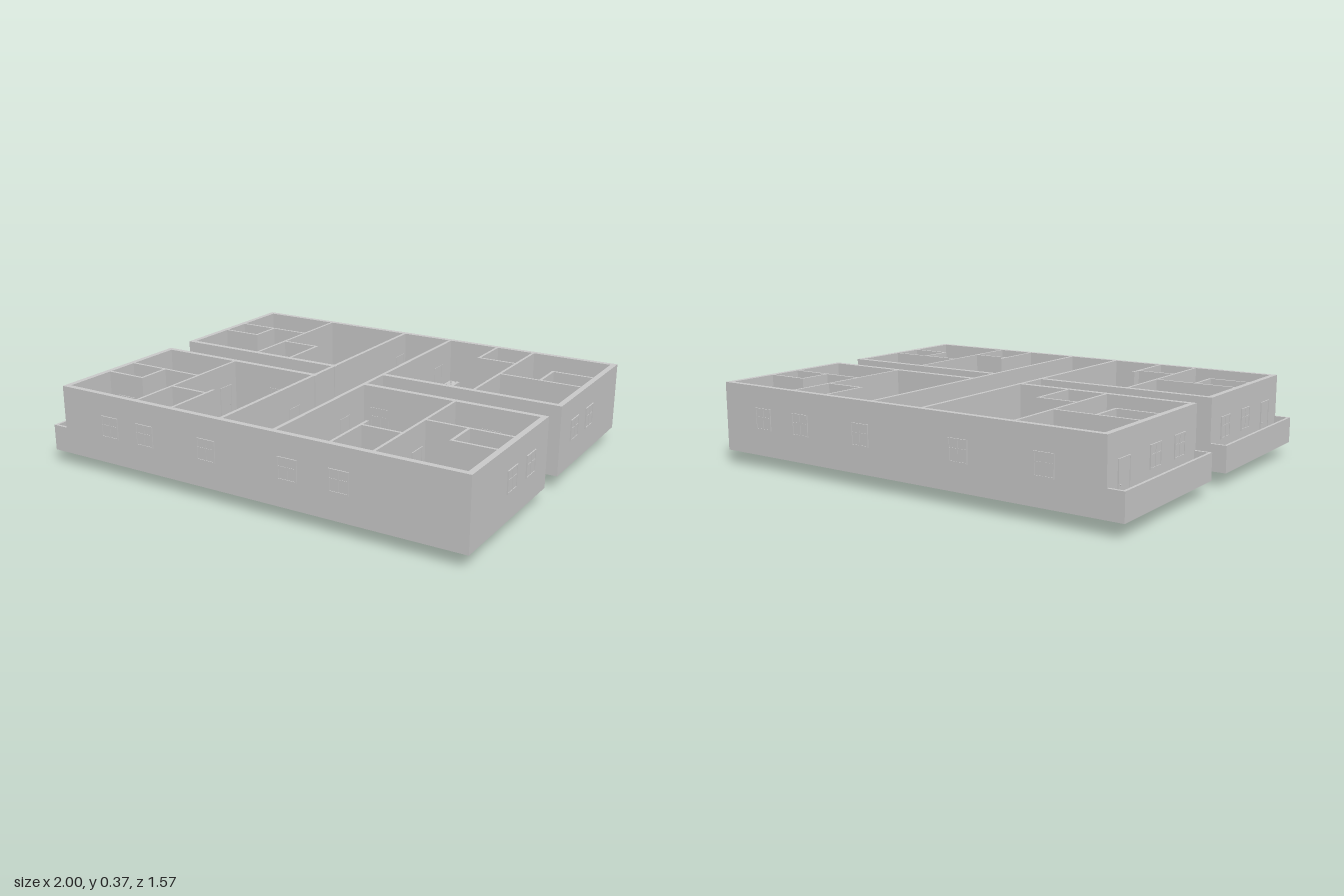
import * as THREE from 'three';

const BASE = 0.06, FLOOR = 0.085, TOP = 0.365, RAIL = 0.175;
const mat = new THREE.MeshStandardMaterial({ color: 0xcccccc });

function add(parent, name, geo, x, y, z) {
  const m = new THREE.Mesh(geo, mat);
  m.name = name;
  m.position.set(x, y, z);
  parent.add(m);
  return m;
}
// box from min/max corners
function span(parent, name, x1, x2, y1, y2, z1, z2) {
  return add(parent, name, new THREE.BoxGeometry(x2 - x1, y2 - y1, z2 - z1),
    (x1 + x2) / 2, (y1 + y2) / 2, (z1 + z2) / 2);
}
// box standing at height y
const block = (p, name, w, h, d, x = 0, y = 0, z = 0) =>
  add(p, name, new THREE.BoxGeometry(w, h, d), x, y + h / 2, z);
const disc = (p, name, r1, r2, h, x = 0, y = 0, z = 0) =>
  add(p, name, new THREE.CylinderGeometry(r1, r2, h, 24), x, y + h / 2, z);

function place(parent, name, x, z, turn, build, y = FLOOR) {
  const g = new THREE.Group();
  g.name = name;
  g.position.set(x, y, z);
  g.rotation.y = turn * Math.PI / 2;
  build(g);
  parent.add(g);
}

// rectangular frame with a sunk panel, passing through a wall of depth d
function framed(g, w, h, d, bars) {
  const s = new THREE.Shape([[-w, 0], [w, 0], [w, h], [-w, h]].map(([x, y]) => new THREE.Vector2(x / 2, y)));
  const t = 0.006, a = w / 2 - t;
  s.holes.push(new THREE.Path([[-a, t], [-a, h - t], [a, h - t], [a, t]].map(([x, y]) => new THREE.Vector2(x, y))));
  add(g, 'frame', new THREE.ExtrudeGeometry(s, { depth: d, bevelEnabled: false }), 0, 0, -d / 2);
  block(g, 'panel', w - t, h - t, d - 0.006, 0, t / 2);
  if (bars) {
    block(g, 'mullion', 0.005, h, d - 0.002);
    block(g, 'transom', w, 0.005, d - 0.002, 0, h * 0.55);
  } else {
    for (const z of [-1, 1]) add(g, 'knob', new THREE.SphereGeometry(0.003, 8, 6), w * 0.35, h * 0.47, z * d / 2);
  }
}
const windowUnit = g => framed(g, 0.09, 0.095, 0.03, true);
const door = g => framed(g, 0.085, 0.18, 0.02, false);
const wideDoor = g => framed(g, 0.09, 0.18, 0.03, false);

// furniture, each facing +z
const furniture = {
  bed(g) {
    block(g, 'bedFrame', 0.12, 0.022, 0.17);
    block(g, 'mattress', 0.116, 0.018, 0.165, 0, 0.022);
    block(g, 'headboard', 0.12, 0.065, 0.006, 0, 0, -0.083);
    for (const s of [-1, 1]) block(g, 'pillow', 0.045, 0.008, 0.028, s * 0.028, 0.04, -0.06);
  },
  sofa(g) { seat(g, 0.15); },
  armchair(g) { seat(g, 0.085); },
  coffeeTable(g) {
    const top = disc(g, 'tableTop', 0.026, 0.026, 0.006, 0, 0.03);
    top.scale.x = 2;
    for (const s of [-1, 1]) block(g, 'tableLeg', 0.006, 0.03, 0.03, s * 0.03);
  },
  diningSet(g) {
    disc(g, 'tableTop', 0.042, 0.042, 0.006, 0, 0.058);
    disc(g, 'pedestal', 0.006, 0.018, 0.058);
    for (let i = 0; i < 4; i++) {
      const c = new THREE.Group();
      c.name = 'chair';
      c.rotation.y = i * Math.PI / 2;
      block(c, 'chairSeat', 0.034, 0.005, 0.03, 0, 0.036, 0.042);
      block(c, 'chairBack', 0.034, 0.04, 0.004, 0, 0.036, 0.057);
      for (const x of [-0.014, 0.014]) for (const z of [0.03, 0.055])
        block(c, 'chairLeg', 0.004, 0.036, 0.004, x, 0, z);
      g.add(c);
    }
  },
  counter(g) {
    block(g, 'cabinet', 0.13, 0.07, 0.105);
    block(g, 'worktop', 0.137, 0.006, 0.113, 0, 0.07);
  },
  sinkUnit(g) {
    block(g, 'cabinet', 0.05, 0.07, 0.1);
    block(g, 'worktop', 0.052, 0.005, 0.102, 0, 0.07);
    for (const z of [-0.024, 0.024]) {
      const rim = add(g, 'sinkRim', new THREE.TorusGeometry(0.014, 0.002, 6, 20), 0, 0.076, z);
      rim.rotation.x = Math.PI / 2;
    }
    block(g, 'tap', 0.004, 0.016, 0.004, 0, 0.075);
  },
  bench(g) { block(g, 'sideUnit', 0.05, 0.075, 0.165); },
  wardrobe(g) {
    block(g, 'wardrobeBody', 0.07, 0.17, 0.13);
    for (const s of [-1, 1]) block(g, 'wardrobeDoor', 0.072, 0.16, 0.062, 0, 0.005, s * 0.032);
  },
  toilet(g) {
    block(g, 'cistern', 0.034, 0.06, 0.016, 0, 0.005, -0.025);
    const bowl = disc(g, 'bowl', 0.016, 0.01, 0.035);
    bowl.scale.z = 1.4;
  },
  basin(g) {
    disc(g, 'pedestal', 0.006, 0.008, 0.055);
    const bowl = add(g, 'bowl', new THREE.LatheGeometry([[0, 0], [0.012, 0.002], [0.02, 0.016], [0.017, 0.016], [0.01, 0.006], [0, 0.005]]
      .map(p => new THREE.Vector2(...p)), 24), 0, 0.054, 0);
    bowl.material = mat;
  },
};
function seat(g, w) {
  block(g, 'seatBase', w - 0.02, 0.034, 0.06);
  block(g, 'backrest', w, 0.068, 0.014, 0, 0, -0.027);
  for (const s of [-1, 1]) block(g, 'armrest', 0.012, 0.05, 0.066, s * (w / 2 - 0.006));
}

export function createModel() {
  const root = new THREE.Group();
  root.name = 'apartmentFloor';
  const T = 0.025;
  const wall = (x1, x2, z1, z2) => span(root, 'outerWall', x1, x2, BASE, TOP, z1, z2);

  // four apartment shells and balconies
  for (const [z1, z2] of [[-0.78, -0.072], [0.068, 0.78]]) {
    span(root, 'floorSlab', -1, 0.995, BASE, FLOOR, z1, z2);
    for (const [x1, x2] of [[-0.928, -0.085], [0.15, 0.995]]) {
      wall(x1, x2, z1, z1 + T);
      wall(x1, x2, z2 - T, z2);
    }
    wall(-0.928, -0.928 + T, z1, z2);
    wall(0.995 - T, 0.995, z1, z2);
    span(root, 'balconyRail', -1, -0.988, BASE, RAIL, z1, z2);
    for (const z of [z1, z2 - 0.012]) span(root, 'balconyRail', -1, -0.928, BASE, RAIL, z, z + 0.012);
  }

  // central corridor
  span(root, 'corridorFloor', -0.105, 0.165, BASE, FLOOR, -0.78, 0.78);
  for (const x of [-0.105, 0.15]) span(root, 'corridorWall', x, x + 0.016, BASE, TOP, -0.78, 0.78);
  for (const z of [-0.78, 0.78 - T]) wall(-0.105, 0.165, z, z + T);

  // sunken shaft below the slab
  span(root, 'shaftBox', -0.32, -0.14, 0, FLOOR, -0.505, -0.33);

  // inner partitions: x1, z1, x2, z2
  const partitions = [
    [-0.53, -0.76, -0.53, -0.09], [-0.91, -0.5, -0.53, -0.5], [-0.72, -0.5, -0.72, -0.35],
    [-0.91, -0.35, -0.72, -0.35], [-0.53, -0.32, -0.345, -0.32], [-0.345, -0.32, -0.345, -0.09],
    [0.41, -0.76, 0.41, -0.55], [0.41, -0.55, 0.595, -0.55], [0.595, -0.76, 0.595, -0.09],
    [0.785, -0.52, 0.975, -0.52], [0.785, -0.52, 0.785, -0.365], [0.595, -0.365, 0.975, -0.365],
    [-0.53, 0.08, -0.53, 0.76], [-0.91, 0.355, -0.53, 0.355], [-0.72, 0.355, -0.72, 0.51],
    [-0.91, 0.51, -0.72, 0.51], [-0.53, 0.535, -0.345, 0.535], [-0.345, 0.49, -0.345, 0.76],
    [0.41, 0.49, 0.41, 0.76], [0.41, 0.535, 0.595, 0.535], [0.595, 0.08, 0.595, 0.76],
    [0.595, 0.355, 0.975, 0.355], [0.785, 0.355, 0.785, 0.51], [0.785, 0.51, 0.975, 0.51],
  ];
  for (const [x1, z1, x2, z2] of partitions)
    span(root, 'partition', x1 - 0.006, x2 + 0.006, BASE, TOP, z1 - 0.006, z2 + 0.006);

  // windows, listed by wall
  const rows = [[-0.77, [-0.67, -0.285, 0.21, 0.545, 0.765]], [-0.0845, [-0.67, -0.48, 0.245, 0.765]],
    [0.0805, [-0.67, -0.285, 0.245, 0.765]], [0.77, [-0.67, -0.48, -0.16, 0.23, 0.46]]];
  for (const [z, xs] of rows) for (const x of xs) place(root, 'window', x, z, 0, windowUnit, RAIL);
  const ends = [[0.985, [-0.42, -0.24, 0.24, 0.42]], [-0.918, [-0.42, -0.22, 0.21, 0.42]]];
  for (const [x, zs] of ends) for (const z of zs) place(root, 'window', x, z, 1, windowUnit, RAIL);

  // balcony, corridor and room doors
  for (const z of [-0.66, 0.64]) place(root, 'balconyDoor', -0.918, z, 1, wideDoor);
  for (const [x, z] of [[-0.097, -0.7], [-0.097, 0.25], [0.158, -0.62], [0.158, 0.25], [-0.53, -0.57],
    [-0.53, -0.42], [-0.53, 0.17], [-0.53, 0.43], [0.595, -0.45], [0.595, 0.26], [0.595, 0.43]])
    place(root, 'door', x, z, 1, door);
  for (const [x, z] of [[-0.44, -0.32], [-0.44, 0.535], [0.5, -0.55], [0.5, 0.535], [-0.81, -0.35], [-0.81, 0.51]])
    place(root, 'door', x, z, 0, door);

  // furniture: x, z, quarter turns
  const layout = {
    bed: [[-0.81, -0.64, 1], [-0.645, -0.235, 3], [-0.81, 0.215, 1], [-0.645, 0.63, 3],
      [0.87, -0.66, 3], [0.87, -0.23, 3], [0.87, 0.215, 3], [0.87, 0.62, 3]],
    wardrobe: [[-0.57, -0.58, 0], [-0.57, 0.28, 0], [0.637, -0.295, 0], [0.637, 0.68, 0]],
    sofa: [[-0.145, -0.57, 3], [-0.145, 0.275, 3], [0.21, -0.28, 1], [0.21, 0.285, 1]],
    armchair: [[-0.29, -0.635, 0], [-0.275, 0.225, 0], [0.35, -0.23, 2], [0.345, 0.225, 0]],
    coffeeTable: [[-0.29, -0.54, 0], [-0.275, 0.32, 0], [0.345, -0.32, 0], [0.345, 0.32, 0]],
    diningSet: [[-0.4, -0.425, 0], [-0.4, 0.44, 0], [0.44, -0.425, 0], [0.44, 0.41, 0]],
    counter: [[-0.17, -0.43, 0], [-0.17, 0.425, 0], [0.23, -0.425, 0], [0.23, 0.425, 0]],
    sinkUnit: [[-0.132, -0.31, 0], [-0.132, 0.54, 0], [0.193, -0.71, 0], [0.193, 0.54, 0]],
    bench: [[-0.312, -0.18, 0], [-0.312, 0.67, 0], [0.375, -0.67, 0], [0.375, 0.67, 0]],
    toilet: [[-0.865, -0.385, 2], [-0.39, -0.135, 2], [-0.855, 0.465, 2], [-0.39, 0.715, 2],
      [0.45, -0.72, 0], [0.93, -0.405, 2], [0.55, 0.715, 2], [0.935, 0.465, 2]],
    basin: [[-0.755, -0.47, 0], [-0.49, -0.125, 0], [-0.76, 0.38, 0], [-0.495, 0.72, 0],
      [0.55, -0.735, 0], [0.825, -0.395, 0], [0.44, 0.72, 0], [0.82, 0.385, 0]],
  };
  for (const [kind, spots] of Object.entries(layout))
    for (const [x, z, turn] of spots) place(root, kind, x, z, turn, furniture[kind]);

  return root;
}
